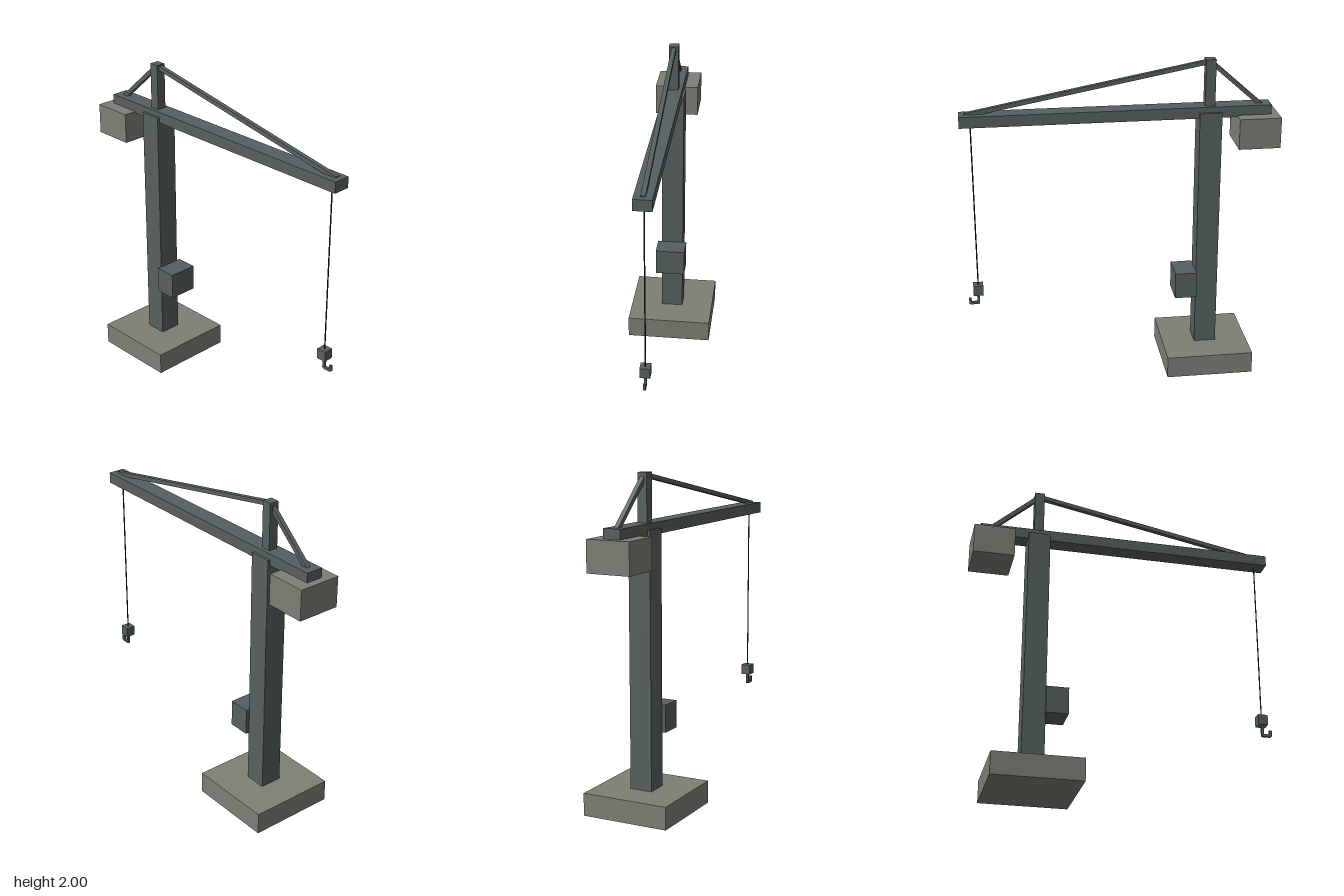
import * as THREE from 'three';

export function createModel() {
  const crane = new THREE.Group();
  crane.name = 'towerCrane';
  const mat = (name, color) => {
    const m = new THREE.MeshStandardMaterial({ color });
    m.name = name;
    return m;
  };
  const steel = mat('steel', 0x566060);
  const concrete = mat('concrete', 0x7d8075);
  const cableBlack = mat('cableBlack', 0x1c2020);

  const add = (name, geometry, material) => {
    const mesh = new THREE.Mesh(geometry, material);
    mesh.name = name;
    crane.add(mesh);
    return mesh;
  };
  // Box from x and y ranges, centred on z = 0
  const box = (name, x0, x1, y0, y1, depth, material = steel) =>
    add(name, new THREE.BoxGeometry(x1 - x0, y1 - y0, depth), material)
      .position.set((x0 + x1) / 2, (y0 + y1) / 2, 0);
  // Square bar between two points in the z = 0 plane
  const bar = (name, x0, y0, x1, y1, size) => {
    const length = Math.hypot(x1 - x0, y1 - y0);
    const mesh = add(name, new THREE.BoxGeometry(length, size, size), steel);
    mesh.position.set((x0 + x1) / 2, (y0 + y1) / 2, 0);
    mesh.rotation.z = Math.atan2(y1 - y0, x1 - x0);
  };

  // Tower
  box('base', -0.815, -0.272, 0, 0.138, 0.545, concrete);
  box('mast', -0.614, -0.477, 0.13, 1.68, 0.14);
  box('cabin', -0.48, -0.343, 0.467, 0.635, 0.188);

  // Jib, counterweight and the post with its tie bars
  box('jib', -0.918, 0.957, 1.645, 1.714, 0.108);
  box('counterweight', -0.963, -0.708, 1.465, 1.655, 0.272, concrete);
  box('topPost', -0.576, -0.515, 1.7, 2, 0.06);
  bar('frontTie', -0.545, 1.984, 0.923, 1.709, 0.027);
  bar('rearTie', -0.545, 1.984, -0.86, 1.704, 0.027);

  // Hoist cable and hook block
  add('cable', new THREE.CylinderGeometry(0.004, 0.004, 1.06, 8), cableBlack)
    .position.set(0.89, 1.125, 0);
  box('hookBlock', 0.859, 0.921, 0.535, 0.6, 0.062);

  // Hook with chamfered outer corners
  const outline = [
    [0.884, 0.54], [0.884, 0.472], [0.89, 0.465], [0.944, 0.465], [0.951, 0.472],
    [0.951, 0.507], [0.935, 0.507], [0.935, 0.481], [0.9, 0.481], [0.9, 0.54],
  ].map(([x, y]) => new THREE.Vector2(x, y));
  add('hook', new THREE.ExtrudeGeometry(new THREE.Shape(outline),
    { depth: 0.016, bevelEnabled: false }), steel).position.z = -0.008;

  return crane;
}
